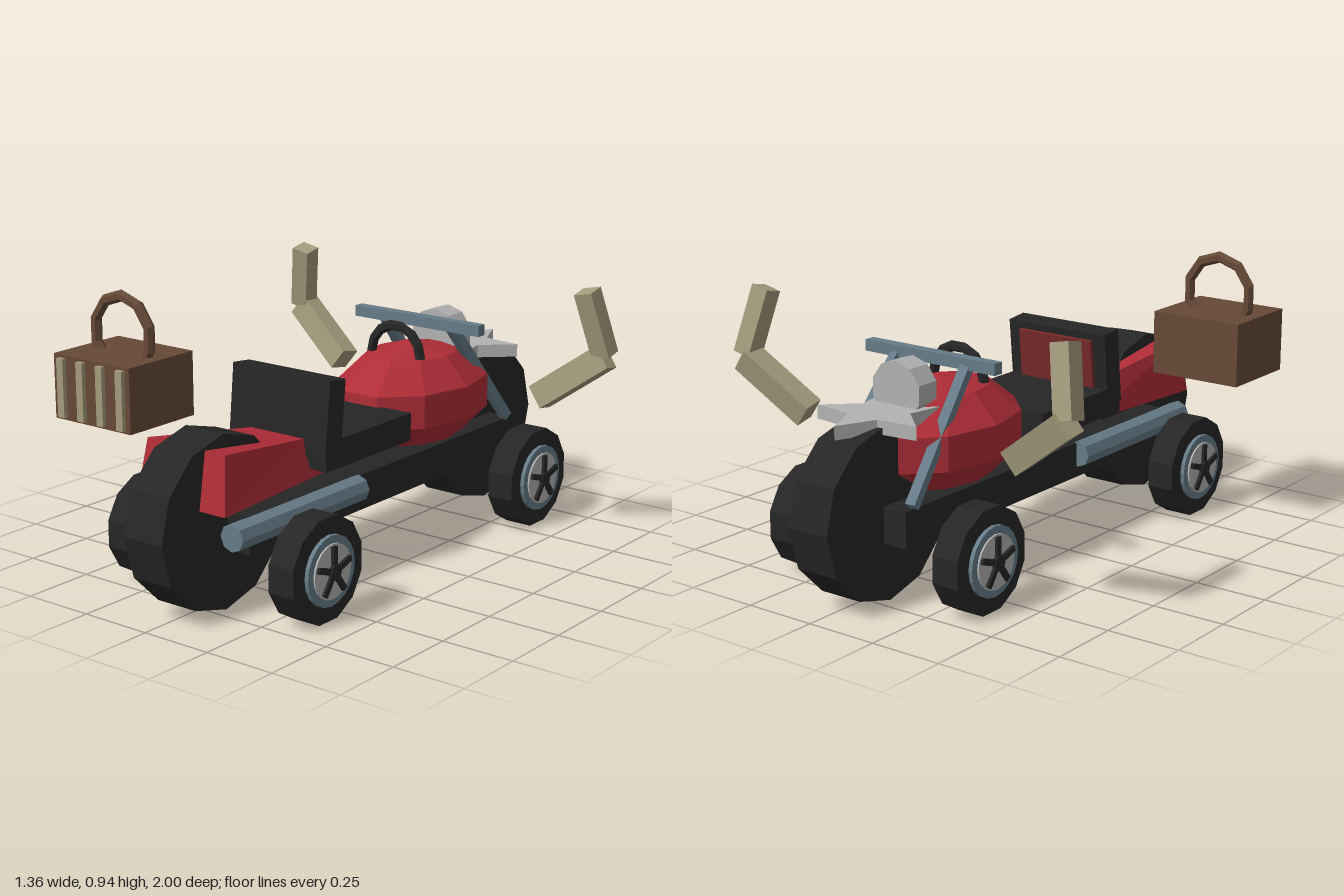
import * as THREE from 'three';

const paint = (name, color) => {
  const m = new THREE.MeshStandardMaterial({ color, flatShading: true });
  m.name = name;
  return m;
};

export function createModel() {
  const black = paint('black', 0x262626);
  const red = paint('red', 0xb02d37);
  const maroon = paint('maroon', 0x7a2a2a);
  const steel = paint('steel', 0x667c88);
  const silver = paint('silver', 0xb2b2b2);
  const tan = paint('tan', 0xa49b7c);
  const brown = paint('brown', 0x664937);

  const model = new THREE.Group();
  model.name = 'roadster';

  const add = (name, geo, mat, x = 0, y = 0, z = 0, parent = model) => {
    const mesh = new THREE.Mesh(geo, mat);
    mesh.name = name;
    mesh.position.set(x, y, z);
    parent.add(mesh);
    return mesh;
  };
  const box = (w, h, d) => new THREE.BoxGeometry(w, h, d);
  // Cylinder whose axis runs along x
  const disc = (r, width, sides) => new THREE.CylinderGeometry(r, r, width, sides).rotateZ(Math.PI / 2);
  // Square bar running from a to b
  const bar = (name, a, b, w, d, mat) => {
    const from = new THREE.Vector3(...a), to = new THREE.Vector3(...b);
    const dir = to.clone().sub(from);
    const mesh = add(name, box(w, dir.length(), d), mat);
    mesh.position.copy(from).add(to).multiplyScalar(0.5);
    mesh.quaternion.setFromUnitVectors(new THREE.Vector3(0, 1, 0), dir.normalize());
    return mesh;
  };

  // Two large centre wheels
  for (const z of [-0.715, 0.715]) add('centreWheel', disc(0.285, 0.155, 12), black, 0, 0.293, z);

  // Four side wheels with spoked hubs facing outward
  for (const side of [-1, 1]) for (const z of [-0.595, 0.59]) {
    const wheel = new THREE.Group();
    wheel.name = 'sideWheel';
    wheel.position.set(side * 0.335, 0.17, z);
    model.add(wheel);
    add('tyre', disc(0.174, 0.096, 12).rotateX(Math.PI / 12), black, 0, 0, 0, wheel);
    add('hubRing', disc(0.115, 0.03, 20), steel, side * 0.047, 0, 0, wheel);
    add('hubPlate', disc(0.09, 0.012, 20), silver, side * 0.062, 0, 0, wheel);
    add('hubCap', disc(0.025, 0.022, 10), black, side * 0.071, 0, 0, wheel);
    for (let i = 0; i < 5; i++) {
      const spoke = box(0.018, 0.083, 0.02).translate(0, 0.0415, 0).rotateX(i * Math.PI * 0.4);
      add('spoke', spoke, black, side * 0.069, 0, 0, wheel);
    }
  }

  // Frame and seat
  add('chassis', box(0.33, 0.12, 1.44), black, 0, 0.26, -0.02);
  add('seat', box(0.4, 0.095, 0.45), black, 0, 0.438, 0.14);
  const back = add('backrest', box(0.4, 0.26, 0.08), black, 0, 0.552, 0.32);
  back.rotation.x = -0.1;
  add('backPad', box(0.3, 0.175, 0.016), maroon, 0, 0.018, -0.046, back);

  // Tapered rear body
  const body = box(2, 1, 1);
  const p = body.attributes.position;
  for (let i = 0; i < p.count; i++) {
    const top = p.getY(i) > 0, rear = p.getZ(i) > 0;
    const half = (rear ? 0.18 : 0.13) - (top ? 0.022 : 0);
    p.setXYZ(i, p.getX(i) * half,
      top ? (rear ? 0.545 : 0.485) : 0.36,
      rear ? (top ? 0.8 : 0.83) : (top ? 0.36 : 0.29));
  }
  add('rearBody', body, red);

  // Faceted tank with a carrying arch
  add('tank', new THREE.SphereGeometry(1, 10, 5).scale(0.243, 0.186, 0.336), red, 0, 0.4625, -0.37);
  const arch = new THREE.TorusGeometry(0.103, 0.018, 6, 7, Math.PI);
  add('tankArch', arch, black, 0, 0.618, -0.27);

  // Steering bar, struts and exhaust pipes
  add('handlebar', box(0.525, 0.038, 0.038), steel, 0, 0.715, -0.402);
  for (const s of [-1, 1]) {
    bar('forkStrut', [s * 0.14, 0.71, -0.4], [s * 0.165, 0.33, -0.71], 0.034, 0.034, steel);
    add('exhaustPipe', new THREE.CylinderGeometry(0.045, 0.045, 0.63, 8).rotateX(Math.PI / 2), steel, s * 0.17, 0.282, 0.475);
  }

  // Headlight and flat star
  add('headlight', new THREE.CylinderGeometry(0.098, 0.098, 0.085, 10).rotateX(Math.PI / 2), silver, 0, 0.64, -0.54);
  const star = new THREE.Shape();
  for (let i = 0; i < 10; i++) {
    const r = i % 2 ? 0.1 : 0.21, a = i * Math.PI / 5;
    star[i ? 'lineTo' : 'moveTo'](r * Math.sin(a), r * Math.cos(a));
  }
  star.closePath();
  const starGeo = new THREE.ExtrudeGeometry(star, { depth: 0.045, bevelEnabled: false }).rotateX(-Math.PI / 2);
  add('starOrnament', starGeo, silver, 0, 0.55, -0.66);

  // Bent horns floating at each side
  for (const s of [-1, 1]) {
    bar('hornLower', [s * 0.422, 0.483, -0.525], [s * 0.65, 0.65, -0.575], 0.085, 0.075, tan);
    bar('hornUpper', [s * 0.648, 0.655, -0.57], [s * 0.6, 0.877, -0.522], 0.068, 0.065, tan);
  }

  // Slatted basket with a ring handle
  const basket = new THREE.Group();
  basket.name = 'basket';
  basket.position.set(-0.435, 0.628, 0.612);
  model.add(basket);
  add('basketBox', box(0.33, 0.215, 0.295), brown, 0, 0, 0, basket);
  for (let i = 0; i < 4; i++) {
    add('basketSlat', box(0.028, 0.195, 0.018), tan, -0.126 + i * 0.086, 0, 0.154, basket);
  }
  const ring = new THREE.TorusGeometry(0.122, 0.019, 6, 10).rotateZ(Math.PI / 10).scale(1, 1.04, 1);
  add('basketHandle', ring, brown, 0, 0.165, 0, basket);

  return model;
}
